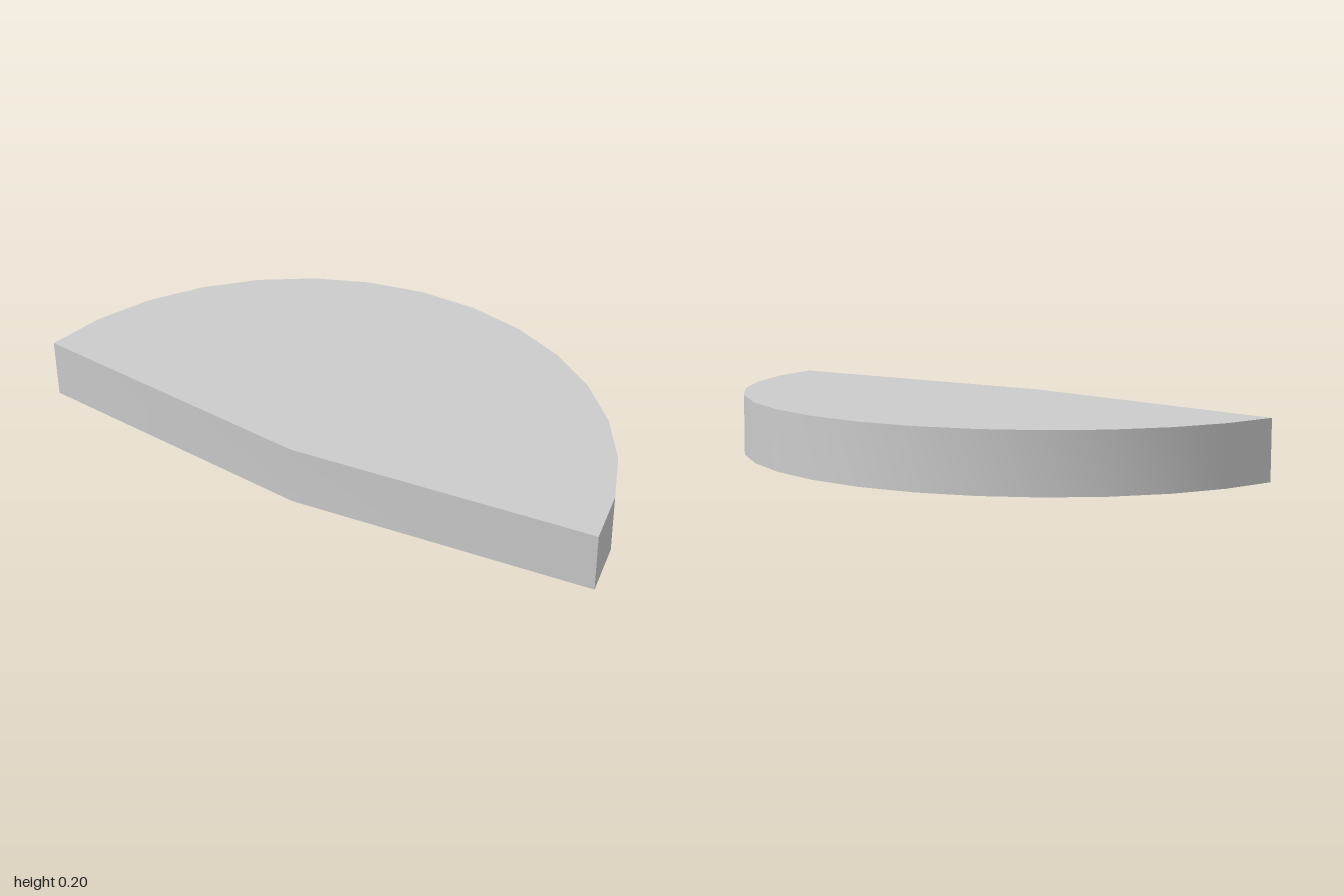
import * as THREE from 'three';
import { toCreasedNormals } from 'three/addons/utils/BufferGeometryUtils.js';

const SIDES = 32;        // segments of the full circle
const ARC_STEPS = 15;    // segments present in the sector
const STEP = (Math.PI * 2) / SIDES;
const RADIUS = 2 / (1 + Math.cos(STEP));
const HEIGHT = 0.202;

export function createModel() {
  const group = new THREE.Group();
  group.name = 'discSector';

  // Outline: centre of the disc, then the rim from just under a half turn
  const points = [new THREE.Vector2(0, 0)];
  for (let i = 1; i <= ARC_STEPS + 1; i++) {
    const a = i * STEP;
    points.push(new THREE.Vector2(Math.cos(a) * RADIUS, Math.sin(a) * RADIUS));
  }

  // Slab raised from the ground, smooth around the rim with crisp edges
  const slab = new THREE.ExtrudeGeometry(new THREE.Shape(points), {
    depth: HEIGHT,
    bevelEnabled: false,
  });
  slab.rotateX(-Math.PI / 2);
  slab.translate(RADIUS - 1, 0, RADIUS / 2);

  const mesh = new THREE.Mesh(
    toCreasedNormals(slab, Math.PI / 6),
    new THREE.MeshStandardMaterial({ color: 0xcccccc })
  );
  mesh.name = 'sectorSlab';
  group.add(mesh);
  return group;
}
